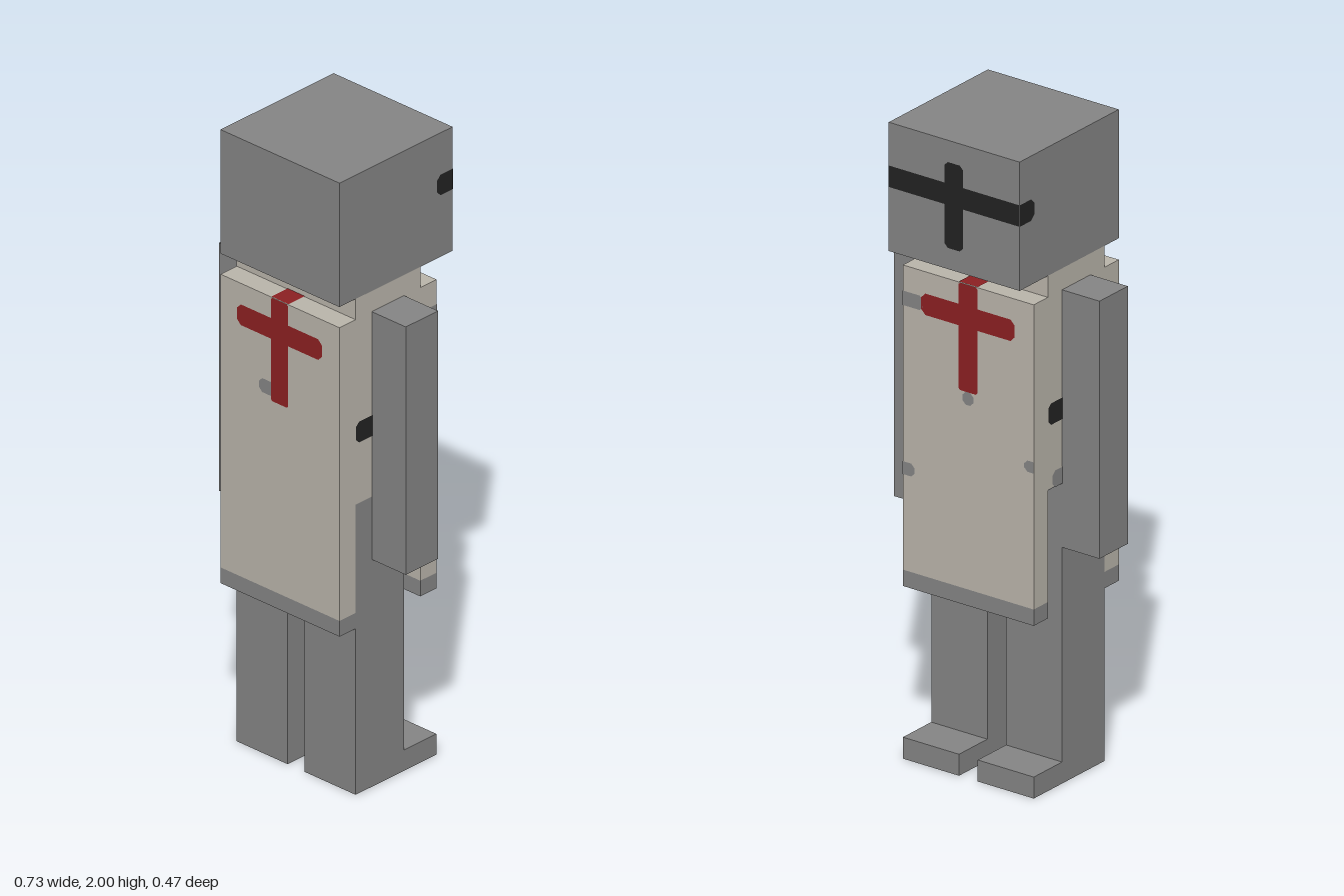
import * as THREE from 'three';

const U = 1 / 15; // one block unit

export function createModel() {
  const mat = (name, color) => Object.assign(new THREE.MeshStandardMaterial({ color }), { name });
  const steel = mat('steel grey', 0x858585);
  const linen = mat('linen', 0xbab5ab);
  const red = mat('dark red', 0x8c2022);
  const black = mat('black', 0x222222);

  const model = new THREE.Group();
  model.name = 'blockKnight';

  // Box given by its limits on each axis
  function box(name, material, [x0, x1], [y0, y1], [z0, z1], parent = model) {
    const mesh = new THREE.Mesh(new THREE.BoxGeometry(x1 - x0, y1 - y0, z1 - z0), material);
    mesh.position.set((x0 + x1) / 2, (y0 + y1) / 2, (z0 + z1) / 2);
    mesh.name = name;
    parent.add(mesh);
    return mesh;
  }

  // Flat painted mark; u and v run right and up as seen facing that side,
  // c0 and c1 clip the corners of its left and right ends
  const turns = {
    front: [0, 0], back: [0, Math.PI], plusX: [0, Math.PI / 2],
    minusX: [0, -Math.PI / 2], top: [-Math.PI / 2, 0],
  };
  function mark(name, material, side, dist, [u0, u1], [v0, v1], c0 = 0, c1 = c0) {
    const s = new THREE.Shape([
      [u0 + c0, v0], [u1 - c1, v0], [u1, v0 + c1], [u1, v1 - c1],
      [u1 - c1, v1], [u0 + c0, v1], [u0, v1 - c0], [u0, v0 + c0],
    ].map(([u, v]) => new THREE.Vector2(u, v)));
    const mesh = new THREE.Mesh(new THREE.ShapeGeometry(s), material);
    mesh.rotation.set(...turns[side], 0);
    mesh.translateZ(dist + 0.002);
    mesh.name = name;
    model.add(mesh);
  }

  const W = 3.5 * U;
  const full = [-W, W];
  const shoulder = 23 * U;

  // Head and torso
  box('head', steel, full, [24 * U, 2], [-W, W]);
  box('torso', linen, full, [14 * U + 0.003, 24 * U], [-1.5 * U, 2.5 * U]);
  box('torsoBase', steel, full, [14 * U, 14 * U + 0.003], [-1.5 * U, 2.5 * U]);

  // Tabard panels with grey hems
  for (const [name, z] of [['frontTabard', [2.5 * U, W]], ['backTabard', [-2.5 * U, -1.5 * U]]]) {
    const panel = new THREE.Group();
    panel.name = name;
    box('cloth', linen, full, [0.587, shoulder], z, panel);
    box('hem', steel, full, [8 * U + 0.003, 0.587], z, panel);
    model.add(panel);
  }

  // Arms, legs and feet on both sides
  for (const [side, s] of [['left', 1], ['right', -1]]) {
    const span = (a, b) => (s > 0 ? [a * U, b * U] : [-b * U, -a * U]);
    box(side + 'Arm', steel, span(3.5, 5.5), [11 * U, shoulder], [-0.5 * U, 1.5 * U]);
    box(side + 'Leg', steel, span(0.5, 3.5), [0, 14 * U], [-0.5 * U, 2.5 * U]);
    box(side + 'Foot', steel, span(0.5, 3.5), [0, U], [-2.5 * U, -0.5 * U]);
  }

  // Red crosses on both panels, carried over the top edge
  for (const [side, dist] of [['front', W], ['back', 2.5 * U]]) {
    mark(side + 'CrossBar', red, side, dist, [-2.5 * U, 2.5 * U], [21 * U, 22 * U], 0.015);
    mark(side + 'CrossPost', red, side, dist, [-U / 2, U / 2], [18 * U, shoulder], 0.005);
  }
  mark('frontCrossTop', red, 'top', shoulder, [-U / 2, U / 2], [-W, -2.5 * U]);
  mark('backCrossTop', red, 'top', shoulder, [-U / 2, U / 2], [1.5 * U, 2.5 * U]);

  // Visor slit on the back of the head, wrapping round the corners
  mark('visorSlit', black, 'back', W, full, [27 * U, 28 * U]);
  mark('visorPost', black, 'back', W, [-U / 2, U / 2], [25 * U, 29 * U], 0.012);
  mark('visorCorner', black, 'plusX', W, [2.5 * U, W], [27 * U, 28 * U], 0.015, 0);
  mark('visorCorner', black, 'minusX', W, [-W, -2.5 * U], [27 * U, 28 * U], 0, 0.015);

  // Belt on both flanks
  mark('belt', black, 'plusX', W, [-2.5 * U, 1.5 * U], [17 * U, 18 * U], 0.012);
  mark('belt', black, 'minusX', W, [-1.5 * U, 2.5 * U], [17 * U, 18 * U], 0.012);

  // Worn grey patches
  mark('patch', steel, 'front', W, [-0.08, -U / 2], [1.215, 1.26], 0.012, 0);
  mark('patch', steel, 'back', 2.5 * U, [-0.02, 0.02], [1.16, 1.2], 0.012);
  mark('patch', steel, 'back', 2.5 * U, [-W, -0.16], [1.41, 1.455], 0, 0.012);
  mark('patch', steel, 'back', 2.5 * U, [-W, -0.19], [0.885, 0.925], 0, 0.012);
  mark('patch', steel, 'back', 2.5 * U, [0.2, W], [1.01, 1.045], 0.012, 0);
  mark('patch', steel, 'plusX', W, [0.12, 2.5 * U], [1.415, 1.455], 0.012, 0);
  mark('patch', steel, 'plusX', W, [1.5 * U, 2.5 * U], [0.89, 0.925]);
  mark('patch', steel, 'plusX', W, [U / 2, 0.08], [14 * U, 0.985], 0, 0.012);
  mark('patch', steel, 'minusX', W, [-0.08, -U / 2], [14 * U, 0.985], 0.012, 0);

  return model;
}
